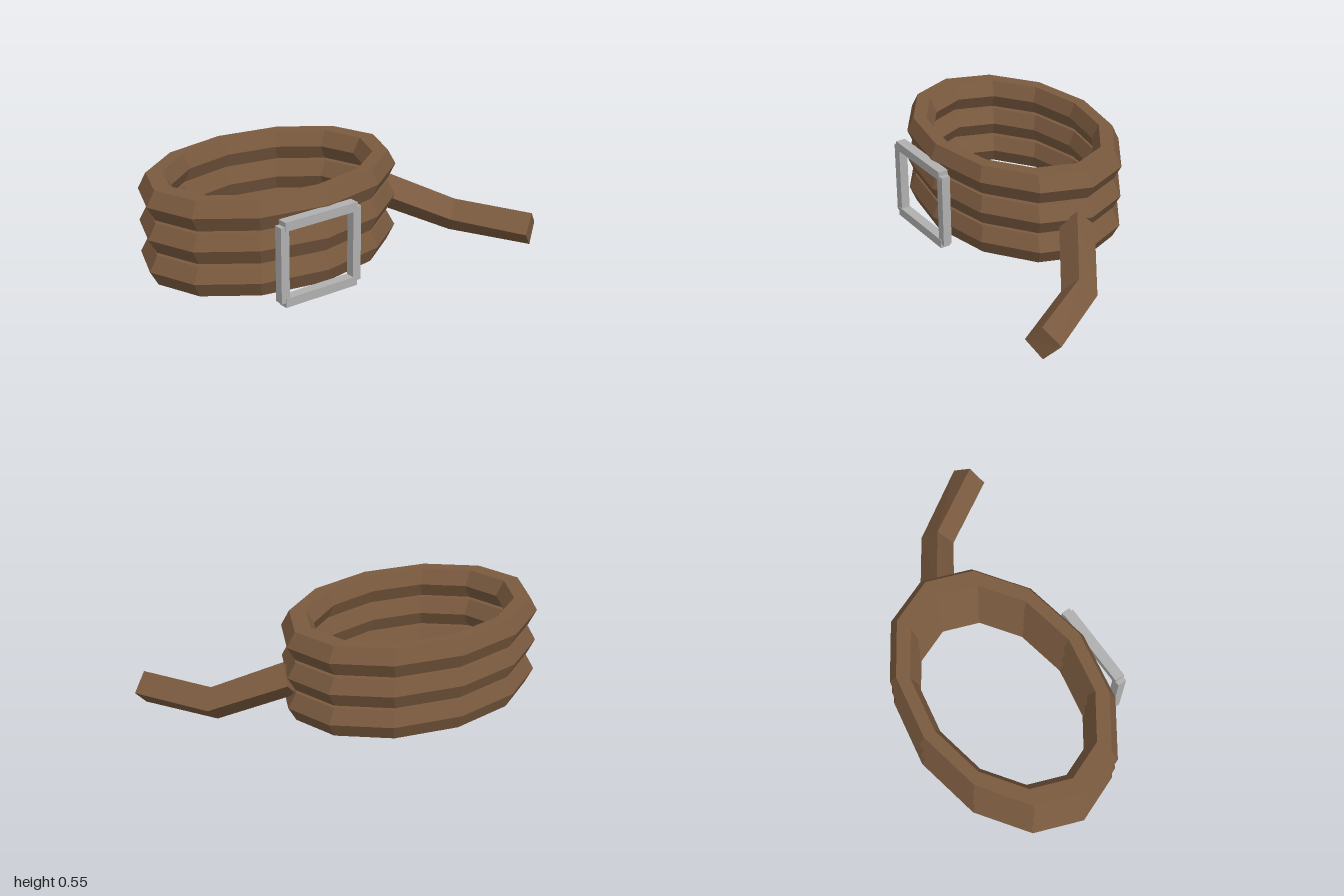
import * as THREE from 'three';

const leather = new THREE.MeshStandardMaterial({ name: 'brownLeather', color: 0x7a5a3f, flatShading: true });
const metal = new THREE.MeshStandardMaterial({ name: 'greyMetal', color: 0xb0b0b0, flatShading: true });

// Closed solid lofted through four-cornered sections (corners: top, right, bottom, left)
function loft(sections) {
  const pos = [];
  const tri = (a, b, c) => pos.push(...a, ...b, ...c);
  const quad = (a, b, c, d) => { tri(a, b, c); tri(a, c, d); };
  for (let i = 0; i < sections.length - 1; i++) {
    const s = sections[i], e = sections[i + 1];
    for (let j = 0; j < 4; j++) {
      const k = (j + 1) % 4;
      quad(s[j], e[j], e[k], s[k]);
    }
  }
  const first = sections[0], last = sections[sections.length - 1];
  quad(first[0], first[1], first[2], first[3]);
  quad(last[3], last[2], last[1], last[0]);
  const geo = new THREE.BufferGeometry();
  geo.setAttribute('position', new THREE.Float32BufferAttribute(pos, 3));
  geo.computeVertexNormals();
  return geo;
}

export function createModel() {
  const model = new THREE.Group();
  model.name = 'coiledBelt';

  // Three stacked oval coils
  const coilGeo = new THREE.TorusGeometry(0.62, 0.089, 6, 12);
  coilGeo.rotateX(Math.PI / 2).scale(1, 1, 0.7);
  coilGeo.computeVertexNormals();
  [0.135, 0.304, 0.473].forEach((y, i) => {
    const coil = new THREE.Mesh(coilGeo, leather);
    coil.name = 'coil' + (i + 1);
    coil.position.set(-0.291, y, -0.1);
    model.add(coil);
  });

  // Loose end bending down to the ground
  const tail = new THREE.Mesh(loft([
    [[0.40, 0.355, -0.02], [0.425, 0.265, -0.11], [0.35, 0.18, -0.06], [0.325, 0.265, 0.035]],
    [[0.705, 0.197, 0.19], [0.76, 0.107, 0.12], [0.685, 0.02, 0.17], [0.635, 0.11, 0.243]],
    [[0.92, 0.18, 0.553], [0.997, 0.095, 0.50], [0.92, 0.002, 0.548], [0.843, 0.088, 0.595]],
  ]), leather);
  tail.name = 'looseEnd';
  model.add(tail);

  // Rectangular buckle frame
  const buckle = new THREE.Group();
  buckle.name = 'buckle';
  buckle.position.set(-0.363, 0.249, 0.411);
  const addBar = (name, w, h, d, x, y) => {
    const bar = new THREE.Mesh(new THREE.BoxGeometry(w, h, d), metal);
    bar.name = name;
    bar.position.set(x, y, 0);
    buckle.add(bar);
  };
  for (const s of [-1, 1]) {
    addBar(s > 0 ? 'leftBar' : 'rightBar', 0.047, 0.39, 0.047, s * 0.213, 0);
    addBar(s > 0 ? 'topBar' : 'bottomBar', 0.426, 0.047, 0.053, 0, s * 0.196);
  }
  model.add(buckle);

  return model;
}
